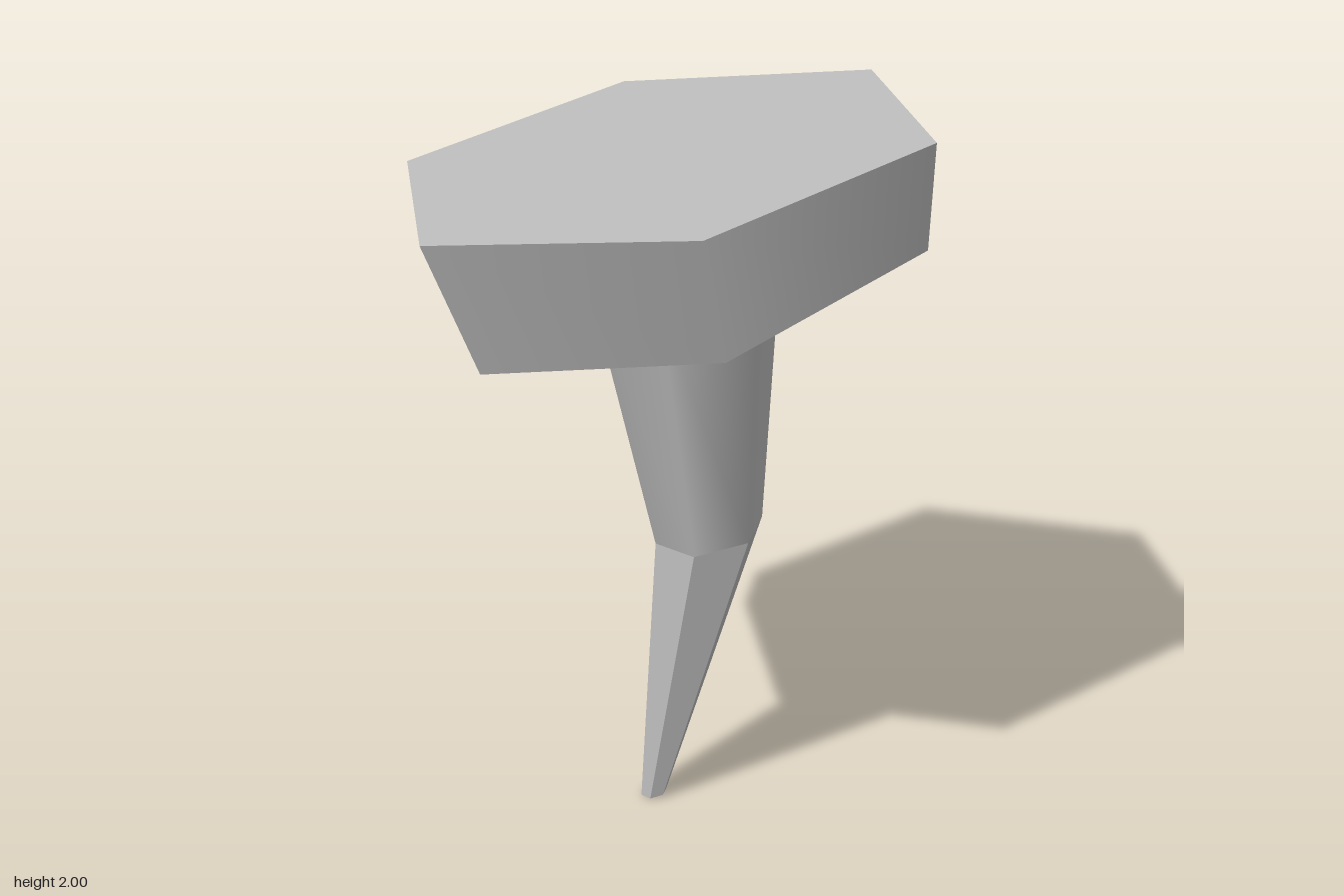
import * as THREE from 'three';

const SIDES = 6;

// Hexagonal cross-section around (x, y), tilted by its slopes along x and z
function ring({ x, y, r, turn = 0, slopeX = 0, slopeZ = 0 }) {
  return Array.from({ length: SIDES }, (_, i) => {
    const a = turn + (i / SIDES) * Math.PI * 2;
    const dx = r * Math.cos(a), dz = r * Math.sin(a);
    return [x + dx, y + dx * slopeX + dz * slopeZ, dz];
  });
}

// Side wall between two rings, smooth or faceted
function wall(lower, upper, smooth) {
  const geo = new THREE.BufferGeometry();
  geo.setAttribute('position', new THREE.Float32BufferAttribute([...lower, ...upper].flat(), 3));
  const index = [], mirrored = [];
  for (let i = 0; i < SIDES; i++) {
    const j = (i + 1) % SIDES, a = i, b = j, c = i + SIDES, d = j + SIDES;
    index.push(a, c, d, a, d, b);
    mirrored.push(a, c, b, b, c, d);
  }
  // Both diagonals together give evenly weighted smooth normals
  geo.setIndex([...index, ...mirrored]);
  geo.computeVertexNormals();
  geo.setIndex(index);
  if (smooth) return geo;
  const flat = geo.toNonIndexed();
  flat.computeVertexNormals();
  return flat;
}

// Flat lid over one ring
function cap(points, facesUp) {
  const geo = new THREE.BufferGeometry();
  geo.setAttribute('position', new THREE.Float32BufferAttribute(points.flat(), 3));
  const index = [];
  for (let i = 1; i < SIDES - 1; i++) index.push(0, ...(facesUp ? [i + 1, i] : [i, i + 1]));
  geo.setIndex(index);
  geo.computeVertexNormals();
  return geo;
}

export function createModel() {
  const model = new THREE.Group();
  model.name = 'bentNail';
  const metal = new THREE.MeshStandardMaterial({ color: 0xbcbcbc });
  metal.name = 'grey metal';

  const add = (name, geometry, parent) => {
    const mesh = new THREE.Mesh(geometry, metal);
    mesh.name = name;
    parent.add(mesh);
  };

  // Cross-sections from the tip up
  const tip = ring({ x: -0.015, y: 0.008, r: 0.037, slopeX: 0.2 });
  const bend = ring({ x: 0.14, y: 0.82, r: 0.15, slopeX: 0.167 });
  const neck = ring({ x: 0.075, y: 1.588, r: 0.255, slopeX: 0.242 });
  const turn = -0.427;
  const headBottom = ring({ x: 0.07, y: 1.585, r: 0.645, turn, slopeX: 0.242, slopeZ: 0.003 });
  const headTop = ring({ x: 0, y: 1.896, r: 0.722, turn, slopeX: 0.16, slopeZ: 0.028 });

  // Shank: faceted spike below the bend, smooth above it
  const shank = new THREE.Group();
  shank.name = 'shank';
  add('tipEnd', cap(tip, false), shank);
  add('lowerShank', wall(tip, bend, false), shank);
  add('upperShank', wall(bend, neck, true), shank);

  // Broad tilted head
  const head = new THREE.Group();
  head.name = 'head';
  add('headRim', wall(headBottom, headTop, true), head);
  add('headUnderside', cap(headBottom, false), head);
  add('headTop', cap(headTop, true), head);

  model.add(shank, head);
  return model;
}
